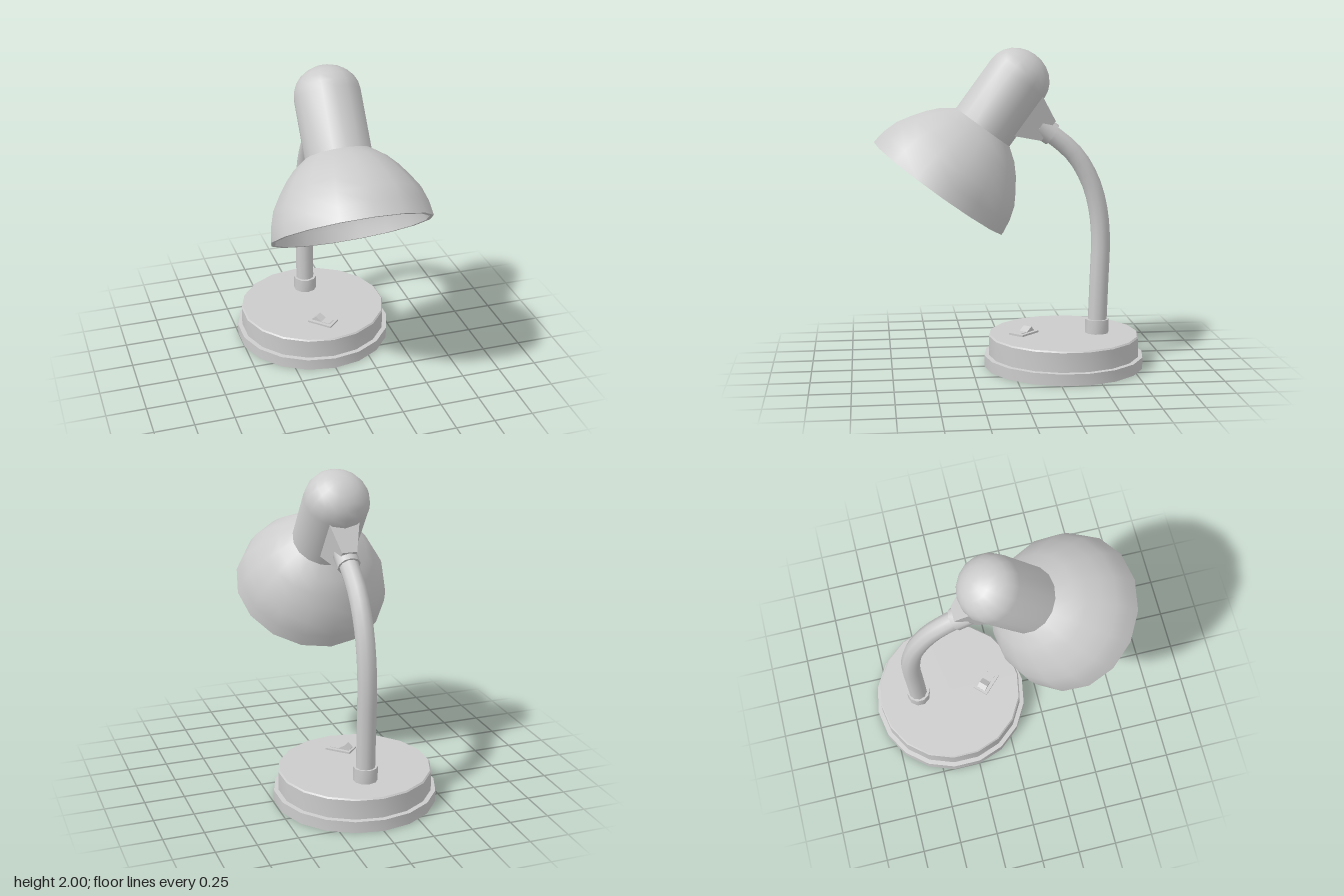
import * as THREE from 'three';
import { toCreasedNormals } from 'three/addons/utils/BufferGeometryUtils.js';

const material = new THREE.MeshStandardMaterial({ color: 0xcccccc });
const points = (list) => list.map(([a, b]) => new THREE.Vector2(a, b));

function part(name, geometry, parent, crease = 0.65) {
  const mesh = new THREE.Mesh(toCreasedNormals(geometry, crease), material);
  mesh.name = name;
  parent.add(mesh);
  return mesh;
}

export function createModel() {
  const model = new THREE.Group();
  model.name = 'deskLamp';

  // Stepped round base with a small bevel on its top edge
  const base = part('base', new THREE.LatheGeometry(points([
    [0, 0], [0.505, 0], [0.505, 0.072], [0.476, 0.074], [0.476, 0.195], [0.468, 0.204], [0, 0.204],
  ]), 18), model);
  base.position.set(-0.005, 0, -0.336);

  // Rocker switch, turned 45 degrees on the base
  const toggle = new THREE.Group();
  toggle.name = 'switch';
  toggle.position.set(-0.008, 0, -0.083);
  toggle.rotation.y = Math.PI / 4;
  model.add(toggle);
  part('switchPlate', new THREE.BoxGeometry(0.105, 0.02, 0.165), toggle).position.y = 0.206;
  const rocker = new THREE.ExtrudeGeometry(new THREE.Shape(points([
    [-0.068, 0.21], [0.065, 0.21], [0.062, 0.219], [0.005, 0.219], [-0.038, 0.245], [-0.068, 0.219],
  ])), { depth: 0.06, bevelEnabled: false });
  rocker.translate(0, 0, -0.03).rotateY(-Math.PI / 2);
  part('switchRocker', rocker, toggle, 0.2);

  // Curved stem with a collar at each end
  const path = new THREE.CatmullRomCurve3([
    [1.5, -0.205], [1.463, -0.26], [1.34, -0.4], [1.17, -0.499], [0.99, -0.549],
    [0.8, -0.566], [0.55, -0.559], [0.22, -0.548],
  ].map(([y, z]) => new THREE.Vector3(0.006, y, z)));
  part('stem', new THREE.TubeGeometry(path, 18, 0.06, 10), model, 0.9);
  part('lowerCollar', new THREE.CylinderGeometry(0.075, 0.075, 0.1, 10), model, 0.9)
    .position.set(0.006, 0.242, -0.548);
  const upperCollar = part('upperCollar', new THREE.CylinderGeometry(0.072, 0.072, 0.1, 10), model, 0.9);
  upperCollar.position.set(0.006, 1.493, -0.216);
  upperCollar.quaternion.setFromUnitVectors(
    new THREE.Vector3(0, 1, 0), new THREE.Vector3(0, -0.56, -0.83).normalize());

  // Head: local origin at the centre of the rim, local y along the shade axis
  const head = new THREE.Group();
  head.name = 'head';
  head.position.set(0.008, 1.1425, 0.4475);
  head.rotation.x = -0.632;
  model.add(head);

  // Shade shell: inside wall down to the rim, then the outside wall up to the domed cap
  const bowl = [[0.49, 0], [0.477, 0.09], [0.448, 0.18], [0.396, 0.265], [0.342, 0.34], [0.285, 0.402], [0.203, 0.463]];
  const inside = bowl.map(([r, y]) => [r - 0.024, Math.max(0, y - 0.015)]).reverse();
  const dome = [];
  for (let i = 0; i <= 6; i++) {
    const a = (i / 6) * Math.PI / 2;
    dome.push([0.203 * Math.cos(a), 0.83 + 0.18 * Math.sin(a)]);
  }
  part('shade', new THREE.LatheGeometry(points([[0, 0.448], ...inside, ...bowl, ...dome]), 16), head);

  // Bulb and its socket
  part('bulb', new THREE.SphereGeometry(0.12, 14, 10), head, 1).position.y = 0.23;
  part('bulbSocket', new THREE.CylinderGeometry(0.06, 0.06, 0.16, 12), head).position.y = 0.39;

  // Tapered bracket between the neck and the stem
  const bracket = new THREE.CylinderGeometry(0.5, 1, 1, 4);
  bracket.rotateY(Math.PI / 4).scale(0.19 / Math.SQRT2, 0.165, 0.30 / Math.SQRT2).rotateX(-Math.PI / 2);
  part('bracket', bracket, head, 0.3).position.set(0, 0.68, -0.255);

  return model;
}
